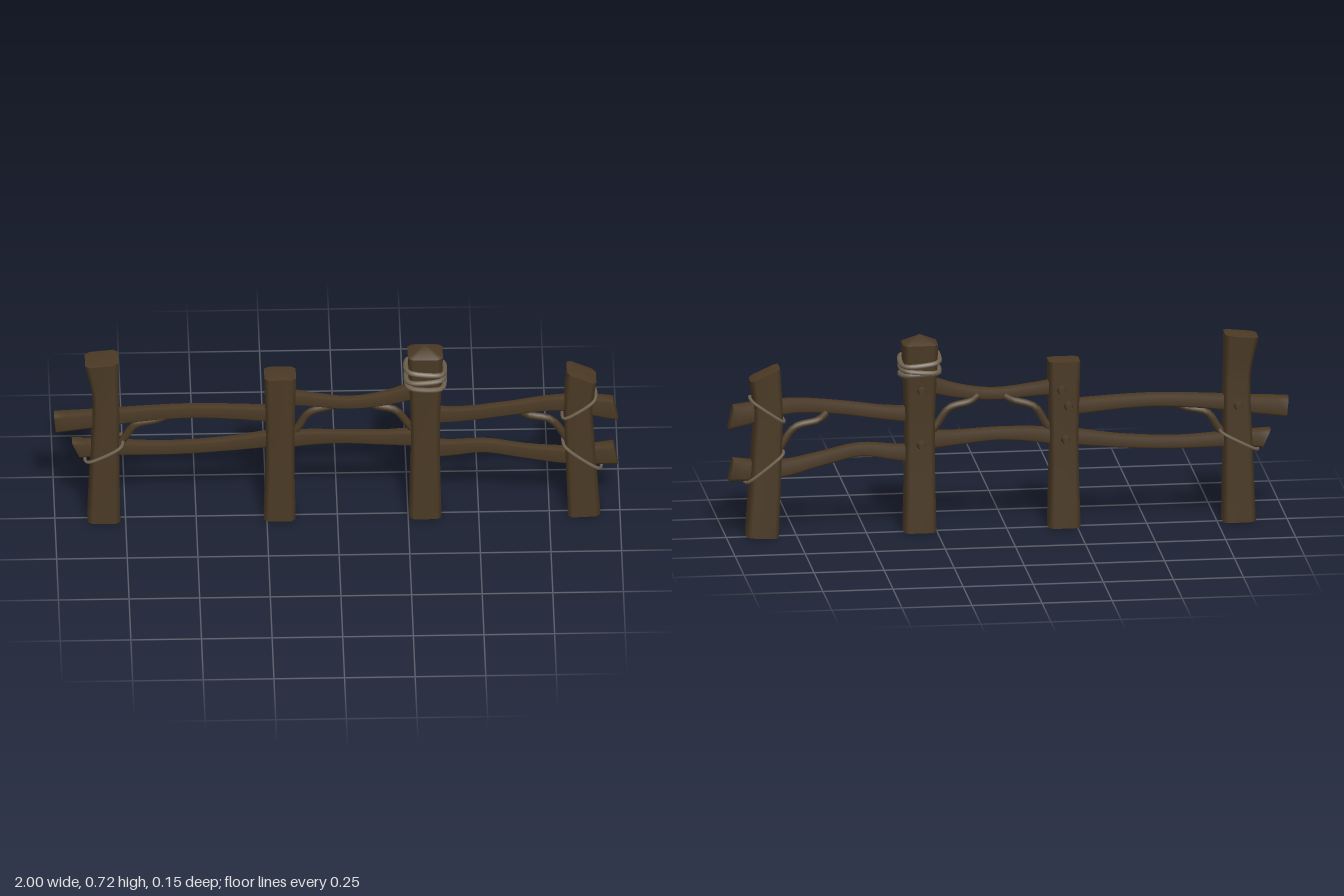
import * as THREE from 'three';

const wood = new THREE.MeshStandardMaterial({ color: 0x4a3924 });
wood.name = 'dark wood';
const rope = new THREE.MeshStandardMaterial({ color: 0x706250 });
rope.name = 'rope';

// bevelled square outline, two points per corner
const B = 0.72;
const OUTLINE = [[1, -B], [1, B], [B, 1], [-B, 1], [-1, B], [-1, -B], [-B, -1], [B, -1]];

// Beam lofted along points [x, y, z, half width across, half depth in z];
// skew slants each end, peak raises the last cap to a point
function beam(name, pts, { steps = 4, skew = [0, 0], peak = 0 } = {}) {
  const path = new THREE.CatmullRomCurve3(pts.map(p => new THREE.Vector3(p[0], p[1], p[2])));
  const size = new THREE.CatmullRomCurve3(pts.map(p => new THREE.Vector3(p[3], p[4], 0)));
  const n = (pts.length - 1) * steps, k = OUTLINE.length;
  const pos = [], idx = [];
  const tangent = i => path.getPoint(Math.min(1, (i + 0.5) / n))
    .sub(path.getPoint(Math.max(0, (i - 0.5) / n))).setZ(0).normalize();
  for (let i = 0; i <= n; i++) {
    const c = path.getPoint(i / n), s = size.getPoint(i / n), t = tangent(i);
    const slant = i === 0 ? skew[0] : i === n ? skew[1] : 0;
    for (const [a, b] of OUTLINE) {
      const w = a * s.x;
      pos.push(c.x + t.y * w + t.x * w * slant, c.y - t.x * w + t.y * w * slant, c.z + b * s.y);
    }
  }
  for (let i = 0; i < n; i++) for (let j = 0; j < k; j++) {
    const a = i * k + j, b = i * k + (j + 1) % k;
    idx.push(a, a + k, b, b, a + k, b + k);
  }
  // separate end caps keep the rims sharp
  for (const end of [0, 1]) {
    const c = path.getPoint(end).addScaledVector(tangent(end * n), end * peak);
    const from = end * n * k, base = pos.length / 3;
    pos.push(c.x, c.y, c.z, ...pos.slice(from * 3, (from + k) * 3));
    for (let j = 0; j < k; j++) {
      const a = base + 1 + j, b = base + 1 + (j + 1) % k;
      if (end) idx.push(base, b, a); else idx.push(base, a, b);
    }
  }
  const geo = new THREE.BufferGeometry();
  geo.setAttribute('position', new THREE.Float32BufferAttribute(pos, 3));
  geo.setIndex(idx);
  geo.computeVertexNormals();
  const mesh = new THREE.Mesh(geo, wood);
  mesh.name = name;
  return mesh;
}

// Closed rope loop around a post; slopes tilt it along x and z
function loop(name, x, y, hx, hz, slopeX, slopeZ, r) {
  const pts = OUTLINE.map(([a, b]) => new THREE.Vector3(
    x + a * hx, y + a * hx * slopeX + b * hz * slopeZ, b * hz));
  const curve = new THREE.CatmullRomCurve3(pts, true);
  const mesh = new THREE.Mesh(new THREE.TubeGeometry(curve, 40, r, 6, true), rope);
  mesh.name = name;
  return mesh;
}

// Curved branch between a post and a rail
function brace(pts) {
  const curve = new THREE.CatmullRomCurve3(pts.map(([x, y]) => new THREE.Vector3(x, y, 0)));
  const mesh = new THREE.Mesh(new THREE.TubeGeometry(curve, 12, 0.014, 7), wood);
  mesh.name = 'brace';
  return mesh;
}

export function createModel() {
  const g = new THREE.Group();
  g.name = 'fence';

  // posts
  g.add(
    beam('farRightPost', [[-0.827, 0, 0, 0.058, 0.045], [-0.823, 0.3, 0, 0.05, 0.043],
      [-0.82, 0.53, 0, 0.046, 0.043], [-0.835, 0.683, -0.003, 0.059, 0.05]], { peak: 0.006 }),
    beam('rightPost', [[-0.204, 0, 0, 0.056, 0.045], [-0.203, 0.3, 0, 0.05, 0.041],
      [-0.203, 0.61, 0, 0.056, 0.043]], { peak: 0.006 }),
    beam('leftPost', [[0.311, 0, 0, 0.057, 0.045], [0.311, 0.35, 0, 0.051, 0.041],
      [0.311, 0.69, -0.005, 0.062, 0.05]], { peak: 0.032 }),
    beam('farLeftPost', [[0.873, 0, 0, 0.057, 0.045], [0.858, 0.3, 0, 0.052, 0.043],
      [0.852, 0.45, 0, 0.05, 0.043], [0.864, 0.597, 0, 0.054, 0.046]], { skew: [0, -0.35], peak: 0.008 }),
  );

  // upper rails
  g.add(
    beam('upperRail', [[-1, 0.413, -0.004, 0.036, 0.024], [-0.85, 0.427, -0.004, 0.03, 0.022],
      [-0.7, 0.443, -0.004, 0.025, 0.019], [-0.5, 0.453, -0.004, 0.023, 0.018],
      [-0.2, 0.435, -0.004, 0.028, 0.02]]),
    beam('upperRail', [[-0.21, 0.515, 0, 0.03, 0.022], [-0.1, 0.503, 0.006, 0.022, 0.018],
      [0.04, 0.49, 0.012, 0.02, 0.017], [0.17, 0.505, 0.009, 0.023, 0.018], [0.31, 0.545, 0, 0.03, 0.022]]),
    beam('upperRail', [[0.3, 0.425, 0, 0.03, 0.022], [0.44, 0.435, 0.014, 0.024, 0.018],
      [0.6, 0.458, 0.018, 0.023, 0.017], [0.77, 0.472, 0.006, 0.026, 0.018],
      [0.88, 0.458, -0.002, 0.035, 0.023], [0.985, 0.44, -0.002, 0.04, 0.025]], { skew: [0, 0.4] }),
  );

  // lower rails
  g.add(
    beam('lowerRail', [[-0.925, 0.3, -0.004, 0.033, 0.024], [-0.8, 0.3, -0.004, 0.026, 0.021],
      [-0.6, 0.295, -0.004, 0.022, 0.018], [-0.4, 0.307, -0.004, 0.023, 0.018],
      [-0.2, 0.333, -0.004, 0.029, 0.021]], { skew: [0.45, 0] }),
    beam('lowerRail', [[-0.21, 0.325, 0, 0.03, 0.022], [-0.1, 0.338, 0.006, 0.026, 0.018],
      [0.03, 0.343, 0.012, 0.022, 0.017], [0.17, 0.335, 0.009, 0.025, 0.018], [0.31, 0.33, 0, 0.033, 0.022]]),
    beam('lowerRail', [[0.3, 0.28, 0, 0.034, 0.022], [0.4, 0.288, 0.012, 0.027, 0.018],
      [0.52, 0.3, 0.018, 0.023, 0.017], [0.66, 0.272, 0.014, 0.024, 0.017],
      [0.82, 0.242, 0, 0.03, 0.021], [0.985, 0.248, -0.002, 0.04, 0.025]], { skew: [0, 0.15] }),
  );

  // curved braces
  g.add(
    brace([[-0.79, 0.29], [-0.752, 0.345], [-0.715, 0.398], [-0.635, 0.42], [-0.6, 0.438]]),
    brace([[-0.18, 0.32], [-0.138, 0.38], [-0.1, 0.44], [-0.02, 0.468], [0.01, 0.485]]),
    brace([[0.29, 0.33], [0.247, 0.39], [0.205, 0.446], [0.13, 0.468], [0.1, 0.49]]),
    brace([[0.84, 0.26], [0.805, 0.325], [0.755, 0.395], [0.67, 0.418], [0.64, 0.445]]),
  );

  // wooden pegs on the back: x, y
  for (const [x, y] of [[-0.82, 0.43], [-0.19, 0.51], [-0.215, 0.45], [-0.205, 0.327],
    [0.31, 0.525], [0.31, 0.325]]) {
    const peg = new THREE.Mesh(new THREE.CylinderGeometry(0.011, 0.019, 0.03, 7), wood);
    peg.rotation.x = -Math.PI / 2;
    peg.position.set(x, y, -0.049);
    peg.name = 'peg';
    g.add(peg);
  }

  // rope lashings at the outer posts
  g.add(
    loop('lashing', -0.827, 0.298, 0.063, 0.05, 0.52, 0, 0.006),
    loop('lashing', 0.855, 0.463, 0.056, 0.05, 0.7, 0, 0.006),
    loop('lashing', 0.866, 0.256, 0.064, 0.051, -0.78, 0, 0.006),
  );

  // rope coils near the top of the left post
  g.add(
    loop('coil', 0.311, 0.63, 0.064, 0.061, -0.1, 0.15, 0.0095),
    loop('coil', 0.311, 0.599, 0.063, 0.058, 0.08, 0.08, 0.0095),
    loop('coil', 0.311, 0.58, 0.063, 0.057, -0.05, -0.12, 0.0095),
  );
  return g;
}
